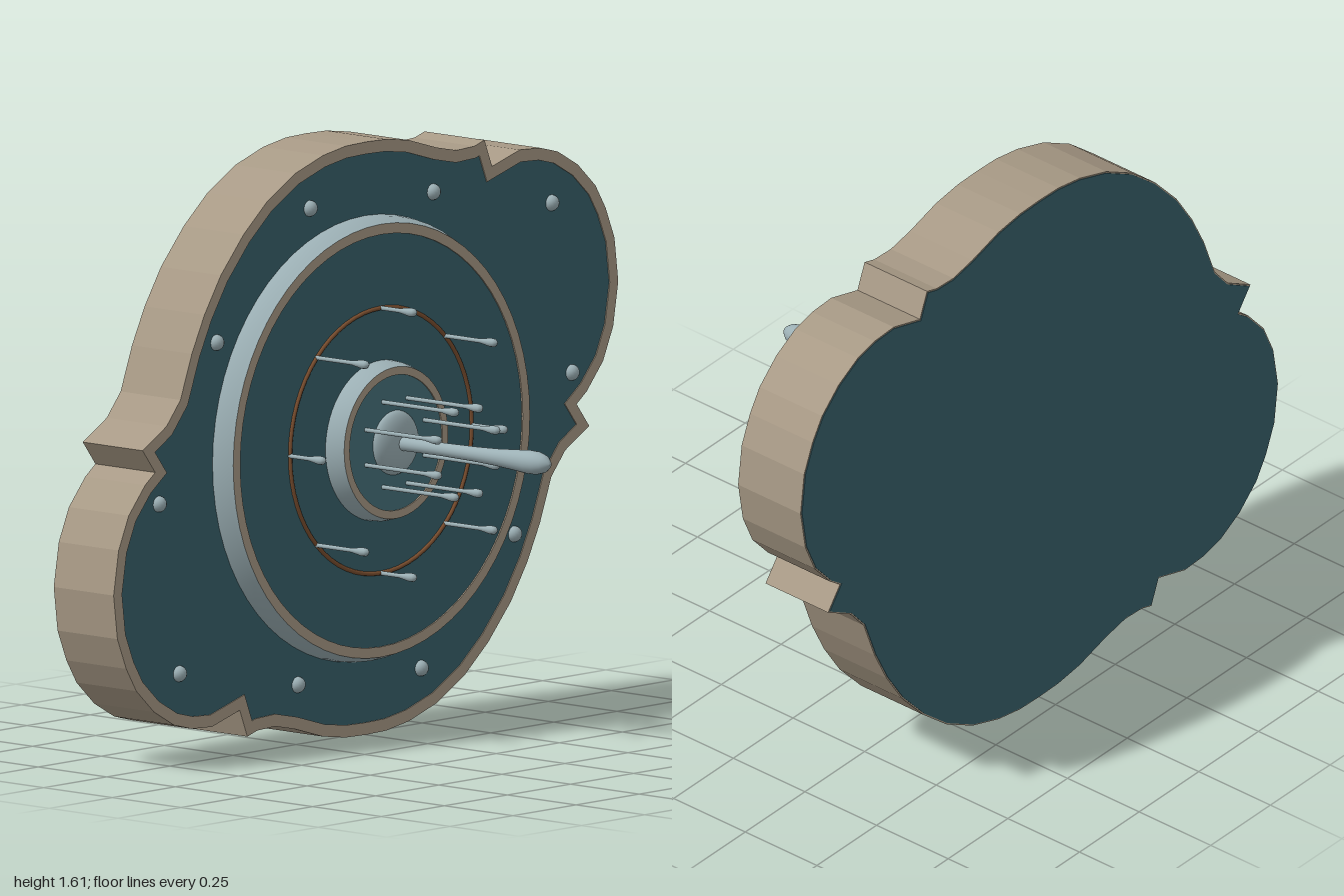
import * as THREE from 'three';

const CY = 0.805; // height of the central axis
const mat = (color) => new THREE.MeshStandardMaterial({ color });
const teal = mat(0x38606a), paleTeal = mat(0x47717a), stone = mat(0xa89a86);
const metal = mat(0x9cb0b5), copper = mat(0x7d5030);

// Half of the outline around the axis; the other half is the same turned by 180 degrees
const HALF = [
  [0.885, -0.07], [0.835, -0.005], [0.875, 0.025], [0.94, 0.1], [0.98, 0.19], [1.0, 0.31],
  [0.985, 0.43], [0.95, 0.515], [0.91, 0.58], [0.84, 0.645], [0.76, 0.69], [0.69, 0.708],
  [0.61, 0.712], [0.5, 0.68], [0.47, 0.755], [0.43, 0.743], [0.36, 0.74], [0.28, 0.757],
  [0.17, 0.79], [0.08, 0.803], [0, 0.805], [-0.08, 0.803], [-0.17, 0.788], [-0.28, 0.752],
  [-0.39, 0.69], [-0.485, 0.61], [-0.575, 0.51], [-0.64, 0.41], [-0.69, 0.31],
  [-0.735, 0.19], [-0.79, 0.125],
];
const OUTLINE = [...HALF, ...HALF.map(([x, y]) => [-x, -y])].map(([x, y]) => new THREE.Vector2(x, y));

// Moves a counter-clockwise polygon inwards with mitred corners
function inset(points, d) {
  const n = points.length;
  const normal = (a, b) => new THREE.Vector2(a.y - b.y, b.x - a.x).normalize();
  return points.map((p, i) => {
    const n1 = normal(points[(i + n - 1) % n], p);
    const n2 = normal(p, points[(i + 1) % n]);
    const m = n1.clone().add(n2).normalize();
    return p.clone().addScaledVector(m, d / Math.max(0.55, m.dot(n1)));
  });
}

function add(parent, name, geometry, material, x = 0, y = 0, z = 0) {
  const mesh = new THREE.Mesh(geometry, material);
  mesh.name = name;
  mesh.position.set(x, y, z);
  parent.add(mesh);
  return mesh;
}

function slab(points, depth, hole) {
  const shape = new THREE.Shape(points);
  if (hole) shape.holes.push(new THREE.Path(hole));
  return new THREE.ExtrudeGeometry(shape, { depth, bevelEnabled: false });
}

// Turned shape along z from [radius, z] pairs; separate strips keep the edges sharp
const turned = (profile, segments = 64) => new THREE.LatheGeometry(
  profile.map(([r, z]) => new THREE.Vector2(r, z)), segments).rotateX(Math.PI / 2);

// Raised round plate: sloping metal wall, stone rim and a slightly sunken face
function plate(parent, name, wall, rimOuter, rimInner, z, faceMaterial) {
  const g = new THREE.Group();
  g.name = name;
  parent.add(g);
  add(g, name + 'Wall', turned(wall), metal);
  add(g, name + 'Rim', new THREE.RingGeometry(rimInner, rimOuter, 64), stone, 0, 0, z);
  add(g, name + 'RimInside', turned([[rimInner, z], [rimInner, z - 0.005]]), stone);
  add(g, name + 'Face', new THREE.CircleGeometry(rimInner, 64), faceMaterial, 0, 0, z - 0.004);
}

// Thin pin with a bulbous tip
function pin(parent, name, x, y, z0, z1) {
  const profile = [
    [0.006, z0], [0.006, z1 - 0.06], [0.009, z1 - 0.04], [0.012, z1 - 0.022],
    [0.011, z1 - 0.008], [0.006, z1 - 0.002], [0, z1],
  ];
  add(parent, name, turned(profile, 12), metal, x, y, 0);
}

export function createModel() {
  const root = new THREE.Group();
  const model = new THREE.Group();
  model.name = 'wallInstrument';
  model.position.y = CY;
  root.add(model);

  // Body: stone band round a teal core, with a teal back plate
  const inner = inset(OUTLINE, 0.033);
  add(model, 'bodyBand', slab(OUTLINE, 0.218, inner), stone, 0, 0, -0.443);
  add(model, 'bodyCore', slab(inner, 0.215), teal, 0, 0, -0.443);
  add(model, 'backPlate', slab(inset(OUTLINE, 0.004), 0.002), teal, 0, 0, -0.445);

  // Studs around the front, in opposite pairs
  const studs = [[-0.22, 0.65], [0.268, 0.638], [0.738, 0.553], [0.818, 0.083], [0.59, -0.329]];
  for (const [x, y] of studs) {
    for (const s of [1, -1]) {
      add(model, 'stud', new THREE.SphereGeometry(0.022, 16, 12), metal, s * x, s * y, -0.228);
    }
  }

  // Large dial and small hub
  plate(model, 'dial', [[0.605, -0.23], [0.602, -0.205], [0.592, -0.18], [0.588, -0.168]],
    0.588, 0.56, -0.168, teal);
  plate(model, 'hub', [[0.218, -0.174], [0.216, -0.15], [0.209, -0.125], [0.206, -0.115]],
    0.206, 0.184, -0.115, paleTeal);

  // Copper ring with pins of alternating length
  add(model, 'copperRing', new THREE.TorusGeometry(0.36, 0.006, 8, 64), copper, 0, 0, -0.171);
  for (let i = 0; i < 8; i++) {
    const a = i * Math.PI / 4;
    pin(model, 'outerPin', 0.36 * Math.cos(a), 0.36 * Math.sin(a), -0.174, i % 2 ? 0.018 : -0.042);
    const b = a + Math.PI / 8;
    pin(model, 'innerPin', 0.125 * Math.cos(b), 0.125 * Math.sin(b), -0.12, 0.155);
  }

  // Central dome and long stalk
  const dome = new THREE.SphereGeometry(0.088, 32, 12, 0, Math.PI * 2, 0, Math.PI / 2);
  dome.rotateX(Math.PI / 2).scale(1, 1, 0.4);
  add(model, 'dome', dome, metal, 0, 0, -0.121);
  add(model, 'stalk', turned([
    [0.019, -0.12], [0.018, 0.05], [0.02, 0.17], [0.023, 0.25], [0.028, 0.32], [0.032, 0.37],
    [0.031, 0.4], [0.024, 0.425], [0.012, 0.44], [0, 0.445],
  ], 24), metal);

  return root;
}
